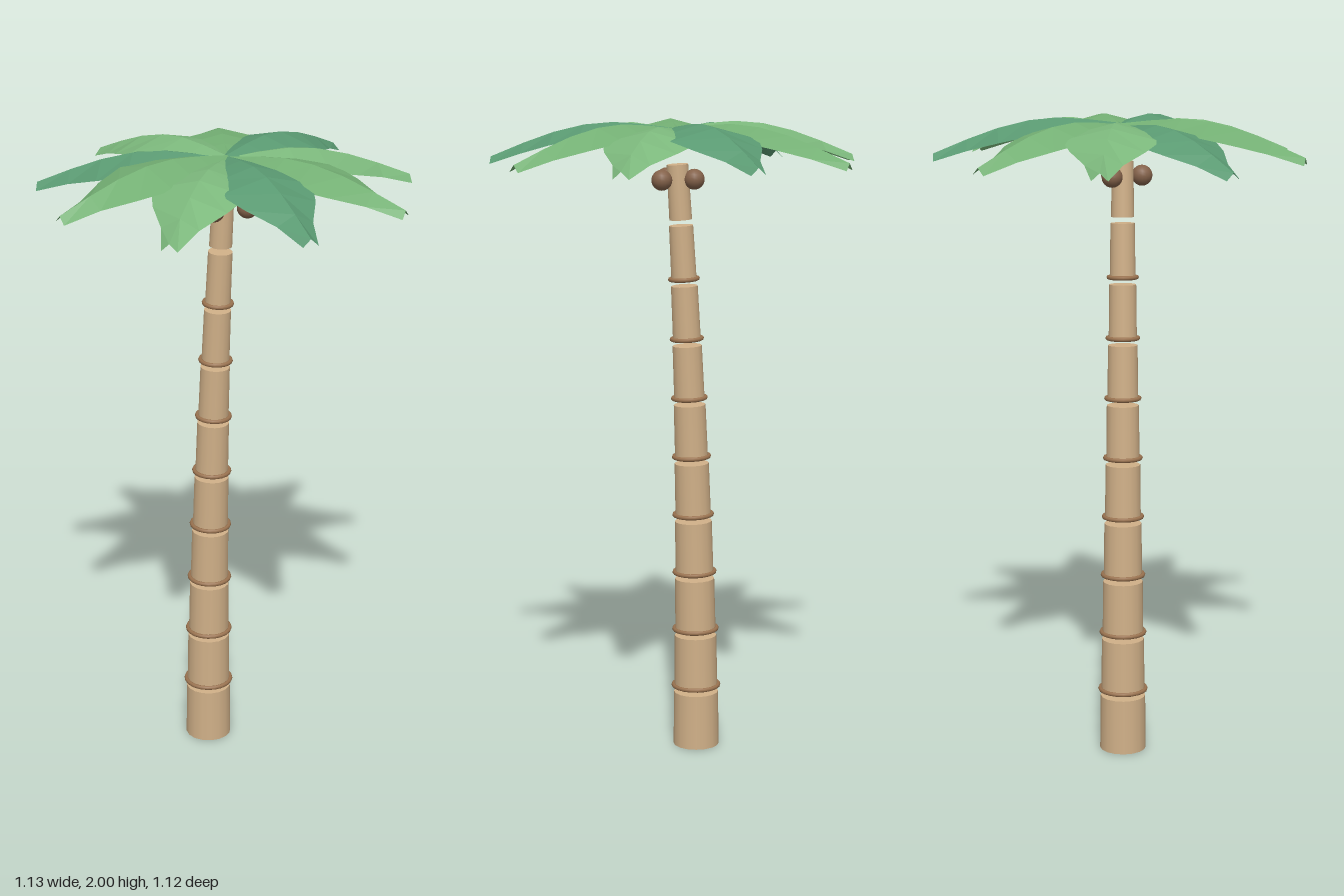
import * as THREE from 'three';

const material = (color, extra = {}) => new THREE.MeshStandardMaterial({ color, ...extra });

// Folded frond along +x: [distance, half width, crest height, edge droop]
const FROND = [
  [0.0, 0.02, 1.977, 0.008],
  [0.1, 0.07, 1.989, 0.018],
  [0.19, 0.112, 1.995, 0.03],
  [0.28, 0.145, 1.987, 0.036],
  [0.375, 0.11, 1.964, 0.036],
  [0.47, 0.056, 1.93, 0.03],
  [0.572, 0.024, 1.888, 0.022],
];

function frondGeometry() {
  const points = [], index = [];
  FROND.forEach(([r, w, y, d], i) => {
    points.push(r, y - d, -w, r, y, 0, r, y - d, w);
    if (i === 0) return;
    for (let k = 0; k < 2; k++) {
      const a = (i - 1) * 3 + k, b = a + 1, c = a + 3, e = a + 4;
      index.push(a, b, c, b, e, c);
    }
  });
  const geometry = new THREE.BufferGeometry();
  geometry.setAttribute('position', new THREE.Float32BufferAttribute(points, 3));
  geometry.setIndex(index);
  geometry.computeVertexNormals();
  return geometry;
}

export function createModel() {
  const tree = new THREE.Group();
  tree.name = 'palmTree';
  const bark = material(0xd0b088);
  const ringBark = material(0x9a7350);
  const shell = material(0x84624a);
  const z0 = 0.012;

  // Trunk: tapering segments along a gentle lean, with a ring at most joints
  const leanX = (y) => -0.075 + 0.066 * (y / 1.87) ** 1.95;
  const trunk = new THREE.Group();
  trunk.name = 'trunk';
  const step = 0.188;
  for (let i = 0; i < 10; i++) {
    const bottom = i * step + (i ? 0.006 : 0);
    const top = i * step + 0.176;
    const r = 0.073 - 0.0042 * i;
    const mid = (bottom + top) / 2;
    const tilt = -Math.atan2(leanX(top) - leanX(bottom), top - bottom);
    const segment = new THREE.Mesh(new THREE.CylinderGeometry(r - 0.002, r, top - bottom, 16), bark);
    segment.name = 'trunkSegment';
    segment.position.set(leanX(mid), mid, z0);
    segment.rotation.z = tilt;
    trunk.add(segment);

    if (i > 0 && i < 9) {
      const ring = new THREE.Mesh(new THREE.TorusGeometry(r + 0.0035, 0.0068, 8, 20).rotateX(Math.PI / 2), ringBark);
      ring.name = 'trunkRing';
      const y = i * step + 0.01;
      ring.position.set(leanX(y), y, z0);
      ring.rotation.z = tilt;
      trunk.add(ring);
    }
  }
  tree.add(trunk);

  // Three coconuts around the top of the trunk
  for (let i = 0; i < 3; i++) {
    const a = Math.PI / 2 + (i * Math.PI * 2) / 3;
    const nut = new THREE.Mesh(new THREE.SphereGeometry(0.032, 16, 12), shell);
    nut.name = 'coconut';
    nut.position.set(0.002 + 0.062 * Math.cos(a), 1.823, 0.01 + 0.062 * Math.sin(a));
    tree.add(nut);
  }

  // Crown of nine fronds in three repeating greens, at slightly different heights
  const greens = [0x5a9a72, 0x7cb87c, 0x74b074].map((c) =>
    material(c, { flatShading: true, side: THREE.DoubleSide }));
  const lifts = [0.005, -0.004, 0, 0.001, -0.005, 0.004, -0.006, 0.003, 0];
  const geometry = frondGeometry();
  const crown = new THREE.Group();
  crown.name = 'crown';
  lifts.forEach((lift, i) => {
    const frond = new THREE.Mesh(geometry, greens[i % 3]);
    frond.name = 'frond';
    frond.position.set(0, lift, 0.008);
    frond.rotation.y = -THREE.MathUtils.degToRad(-92 + 40 * i);
    crown.add(frond);
  });
  tree.add(crown);
  return tree;
}
